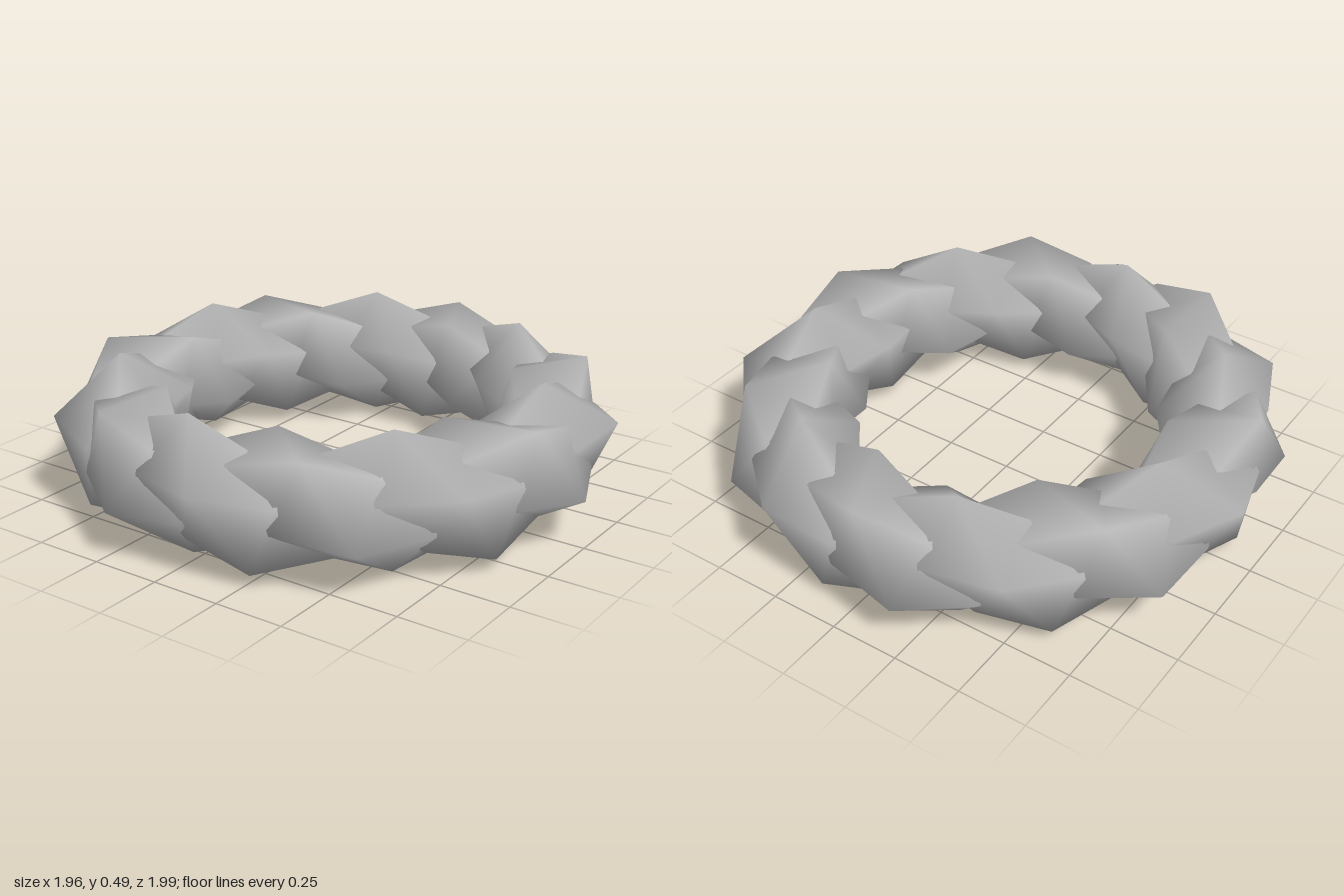
import * as THREE from 'three';

const RING = 0.765, HEIGHT = 0.245; // ring centre line
const OFFSET = 0.063, THICK = 0.182; // strand distance from centre line, strand radius
const TURNS = 7, STEPS = 35, SIDES = 4;
const START = THREE.MathUtils.degToRad(80);

// Point at a given fraction of the ring, for a strand winding round the centre line
function strandPoint(t, phase, radius) {
  const around = START - t * Math.PI * 2;
  const wind = phase + t * TURNS * Math.PI * 2;
  const r = RING + radius * Math.sin(wind);
  return new THREE.Vector3(
    r * Math.cos(around), HEIGHT + radius * Math.cos(wind), r * Math.sin(around));
}

// Closed four-sided tube, one corner always pointing away from the centre line
function strandGeometry(phase) {
  const positions = [], index = [];
  for (let i = 0; i < STEPS; i++) {
    const t = i / STEPS;
    const centre = strandPoint(t, phase, OFFSET);
    const normal = centre.clone().sub(strandPoint(t, phase, 0)).normalize();
    const tangent = strandPoint(t + 1e-4, phase, OFFSET)
      .sub(strandPoint(t - 1e-4, phase, OFFSET)).normalize();
    const side = tangent.clone().cross(normal).normalize();
    for (let j = 0; j < SIDES; j++) {
      const a = (j / SIDES) * Math.PI * 2;
      const p = centre.clone()
        .addScaledVector(normal, THICK * Math.cos(a))
        .addScaledVector(side, THICK * Math.sin(a));
      positions.push(p.x, p.y, p.z);
      const next = ((i + 1) % STEPS) * SIDES, here = i * SIDES, k = (j + 1) % SIDES;
      index.push(here + j, here + k, next + j, here + k, next + k, next + j);
    }
  }
  const geometry = new THREE.BufferGeometry();
  geometry.setAttribute('position', new THREE.Float32BufferAttribute(positions, 3));
  geometry.setIndex(index);
  geometry.computeVertexNormals();
  return geometry;
}

export function createModel() {
  const group = new THREE.Group();
  group.name = 'twistedRing';
  const grey = new THREE.MeshStandardMaterial({ color: 0xb4b4b4 });
  grey.name = 'grey';
  // Two strands on opposite sides of the centre line
  ['firstStrand', 'secondStrand'].forEach((name, s) => {
    const mesh = new THREE.Mesh(strandGeometry(s * Math.PI), grey);
    mesh.name = name;
    group.add(mesh);
  });
  return group;
}
